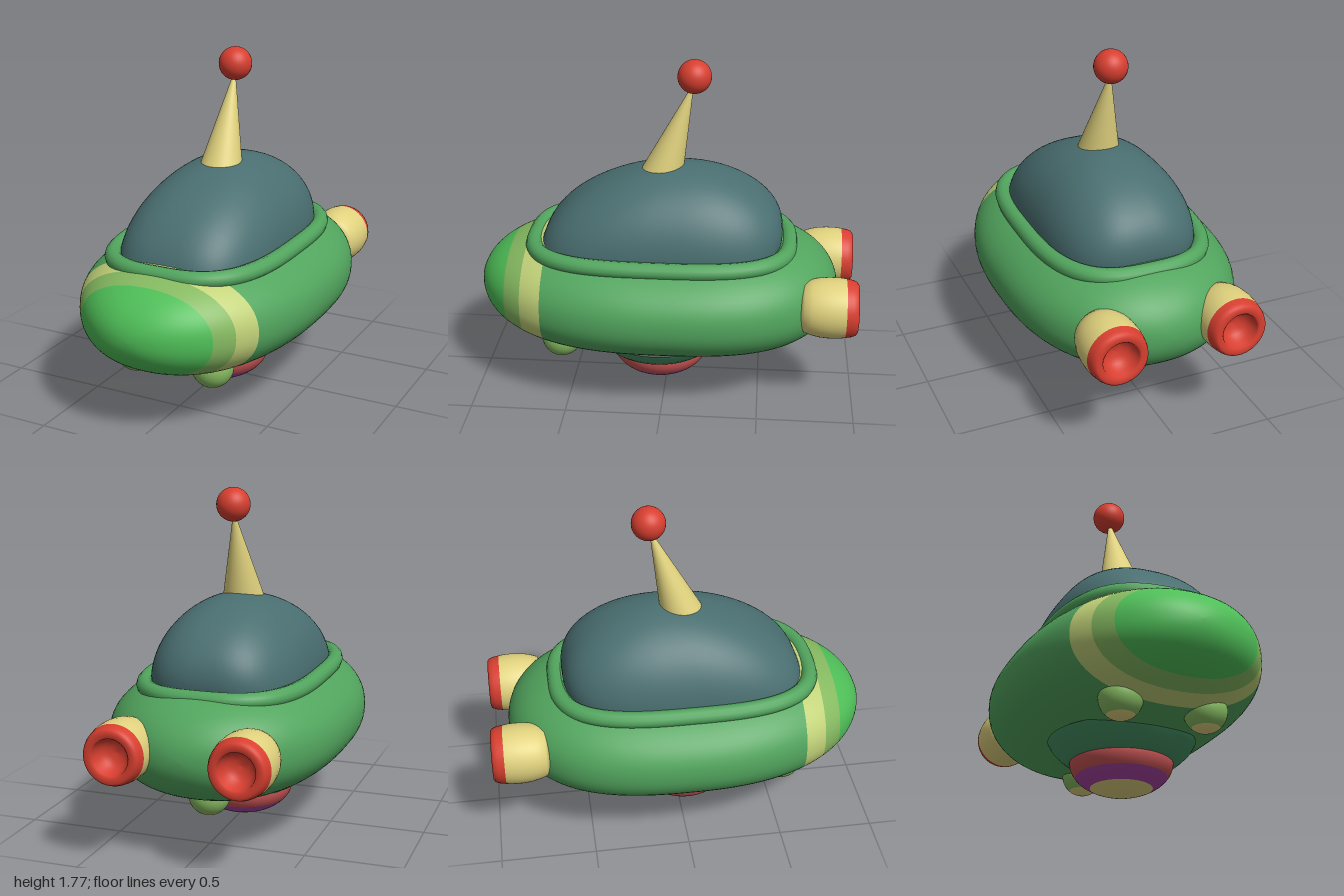
import * as THREE from 'three';

const mat = (name, color, side = THREE.FrontSide) => {
  const m = new THREE.MeshStandardMaterial({ color, side });
  m.name = name;
  return m;
};

// Point on a superellipse with the given half sizes
const superPoint = (a, b, n, t) => {
  const p = (v) => Math.sign(v) * Math.pow(Math.abs(v), 2 / n);
  return [a * p(Math.cos(t)), b * p(Math.sin(t))];
};

// Skin over closed rings; materialOf(row) picks the material slot of each row
function loft(rings, materialOf = () => 0) {
  const cols = rings[0].length, pos = rings.flat(2), index = [];
  const geo = new THREE.BufferGeometry();
  for (let i = 0; i < rings.length - 1; i++) {
    geo.addGroup(index.length, cols * 6, materialOf(i));
    for (let j = 0; j < cols; j++) {
      const k = (j + 1) % cols;
      const a = i * cols + j, b = i * cols + k, c = a + cols, d = b + cols;
      index.push(a, c, b, b, c, d);
    }
  }
  geo.setAttribute('position', new THREE.Float32BufferAttribute(pos, 3));
  geo.setIndex(index);
  geo.computeVertexNormals();
  return geo;
}

const lathe = (pts, segments = 48) =>
  new THREE.LatheGeometry(pts.map(([r, y]) => new THREE.Vector2(r, y)), segments);

export function createModel() {
  const group = new THREE.Group();
  const hullGreen = mat('hull green', 0x52a55e);
  const noseGreen = mat('nose green', 0x4fbf58);
  const paleGreen = mat('pale green', 0x86ba61);
  const lime = mat('lime stripe', 0xc2d279);
  const cream = mat('cream', 0xe0d27e);
  const red = mat('red', 0xd83f30);
  const glass = mat('teal canopy', 0x4a6f71);
  const collarGreen = mat('collar green', 0x469264);
  const rose = mat('rose', 0xc85454);
  const purple = mat('purple', 0xa643a0);

  const add = (name, geo, material, x = 0, y = 0, z = 0, parent = group) => {
    const mesh = new THREE.Mesh(geo, material);
    mesh.name = name;
    mesh.position.set(x, y, z);
    parent.add(mesh);
    return mesh;
  };

  // Hull: superelliptic rings from nose to tail, with rows on the stripe edges
  const zc = 0.05, stripes = [0.825, 0.73, 0.615];
  const zs = [...stripes];
  for (let i = 0; i <= 64; i++) {
    const c = Math.cos((i / 64) * Math.PI);
    zs.push(zc + c * (c > 0 ? 0.95 : 0.955));
  }
  zs.sort((a, b) => b - a);
  const hullRings = zs.map((z) => {
    const front = z > zc;
    const t = Math.min(1, Math.abs(z - zc) / (front ? 0.95 : 0.955));
    const w = 0.615 * Math.sqrt(1 - Math.pow(t, front ? 2.15 : 2.7));
    const h = 0.31 * Math.sqrt(1 - Math.pow(t, front ? 3.4 : 4.2));
    return Array.from({ length: 72 }, (_, j) => {
      const [x, y] = superPoint(w, h, 2.2, (j / 72) * Math.PI * 2);
      return [x, 0.55 + y, z];
    });
  });
  add('hull', loft(hullRings, (i) => stripes.filter((s) => zs[i] <= s).length),
    [noseGreen, paleGreen, lime, hullGreen]);

  // Canopy: rounded footprint shrinking upwards, with its peak set back
  const domeRings = Array.from({ length: 25 }, (_, i) => {
    const a = (i / 24) * Math.PI / 2, h = Math.sin(a), s = Math.max(0, Math.cos(a));
    return Array.from({ length: 72 }, (_, j) => {
      const [x, z] = superPoint(0.4 * s, 0.63 * Math.pow(s, 1.12), 3 - 0.7 * h, (j / 72) * Math.PI * 2);
      return [x, 0.8 + 0.417 * h, 0.03 - 0.1 * h + z];
    });
  });
  add('canopy', loft(domeRings), glass);

  // Rim around the canopy
  const rimPath = new THREE.CatmullRomCurve3(Array.from({ length: 64 }, (_, j) => {
    const [x, z] = superPoint(0.425, 0.672, 3, (j / 64) * Math.PI * 2);
    return new THREE.Vector3(x, 0.793, 0.03 + z);
  }), true);
  add('canopyRim', new THREE.TubeGeometry(rimPath, 128, 0.044, 12, true), hullGreen);

  // Antenna: cone sheared backwards, with a ball on its tip
  const cone = new THREE.CylinderGeometry(0.006, 0.108, 0.44, 40);
  cone.translate(0, 0.22, 0);
  cone.applyMatrix4(new THREE.Matrix4().set(1, 0, 0, 0, 0, 1, 0, 0, 0, -0.34, 1, 0, 0, 0, 0, 1));
  add('antenna', cone, cream, 0, 1.19, 0.025);
  add('antennaBall', new THREE.SphereGeometry(0.087, 32, 24), red, 0, 1.683, -0.135);

  // Rear thrusters: cream shells with hollow red nozzles
  const shell = lathe([[0, 0], [0.1, 0.003], [0.13, 0.02], [0.144, 0.06], [0.153, 0.1],
    [0.157, 0.15], [0.156, 0.2], [0.152, 0.232]]);
  const nozzle = lathe([[0.152, 0.232], [0.146, 0.265], [0.138, 0.286], [0.125, 0.295],
    [0.1, 0.293], [0.093, 0.285], [0.086, 0.25], [0.065, 0.22], [0.035, 0.205], [0, 0.2]]);
  for (const side of [1, -1]) {
    const thruster = new THREE.Group();
    thruster.name = side > 0 ? 'leftThruster' : 'rightThruster';
    thruster.position.set(side * 0.315, 0.57, -0.705);
    thruster.rotation.x = -Math.PI / 2;
    add('thrusterShell', shell, cream, 0, 0, 0, thruster);
    add('thrusterNozzle', nozzle, red, 0, 0, 0, thruster);
    group.add(thruster);
  }

  // Belly: collar and a banded bowl
  add('bellyCollar', lathe([[0.2, 0.15], [0.25, 0.153], [0.285, 0.172], [0.32, 0.2],
    [0.355, 0.237], [0.375, 0.27]]), collarGreen, 0, 0, 0.045);
  const bowl = (y0, y1) => lathe(Array.from({ length: 9 }, (_, i) => {
    const a0 = Math.acos(1 - y0 / 0.165), a1 = Math.acos(1 - y1 / 0.165);
    const a = a0 + (a1 - a0) * (i / 8);
    return [0.262 * Math.sin(a), 0.165 * (1 - Math.cos(a))];
  }));
  add('bowlTip', bowl(0, 0.033), cream, 0, 0, 0.04);
  add('bowlMiddle', bowl(0.033, 0.088), purple, 0, 0, 0.04);
  add('bowlTop', bowl(0.088, 0.165), rose, 0, 0, 0.04);

  // Three round feet with cream tips
  const split = Math.PI * 0.78;
  const foot = new THREE.SphereGeometry(0.108, 32, 20, 0, Math.PI * 2, 0, split);
  const tip = new THREE.SphereGeometry(0.108, 32, 8, 0, Math.PI * 2, split, Math.PI - split);
  for (const [x, y, z] of [[0.22, 0.293, 0.55], [-0.22, 0.293, 0.55], [0, 0.265, -0.5]]) {
    add('foot', foot, paleGreen, x, y, z);
    add('footTip', tip, cream, x, y, z);
  }
  return group;
}
